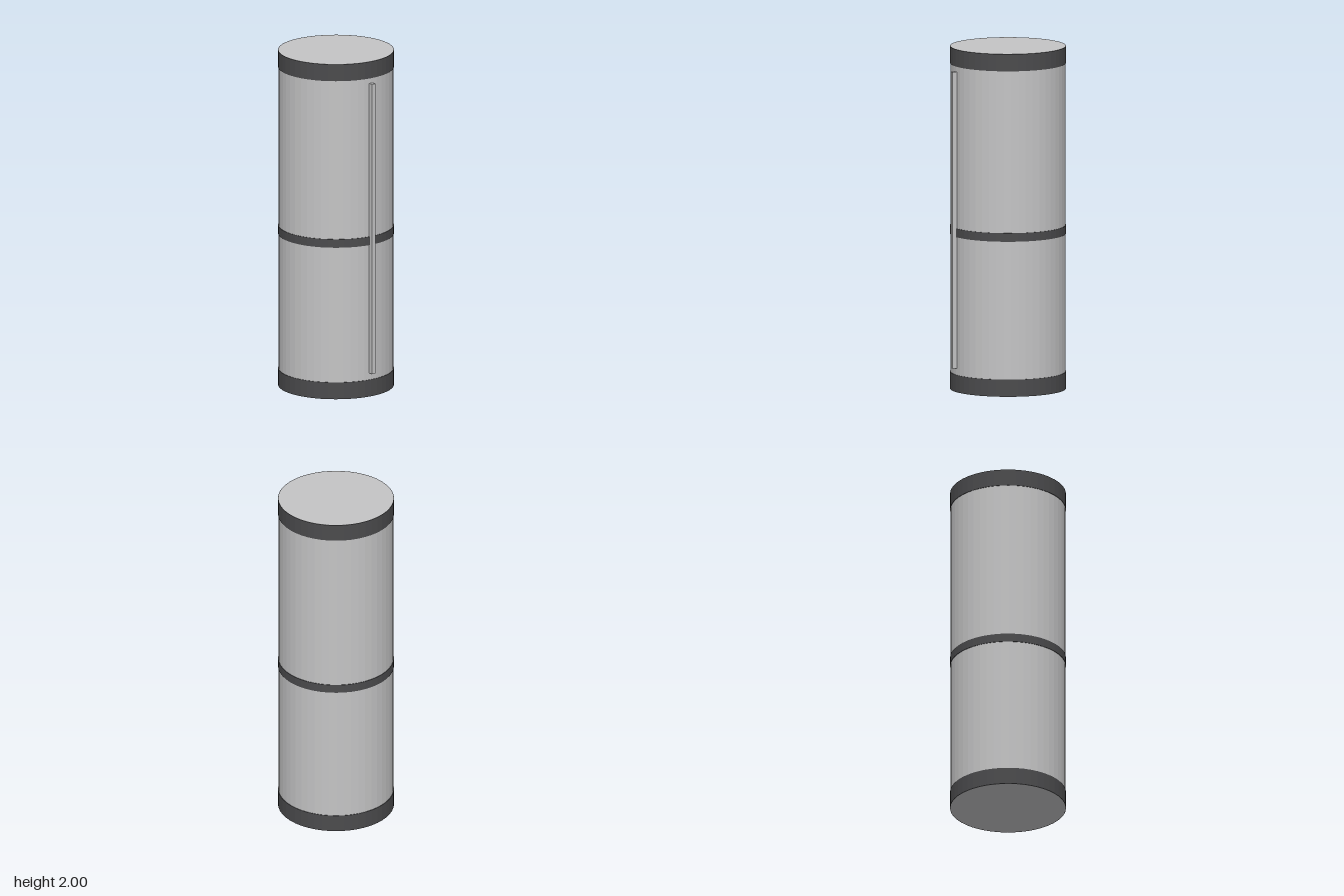
import * as THREE from 'three';

export function createModel() {
  const group = new THREE.Group();
  const lightGrey = new THREE.MeshStandardMaterial({ color: 0xc4c4c5, flatShading: true });
  lightGrey.name = 'light grey';
  const darkGrey = new THREE.MeshStandardMaterial({ color: 0x4b4b4d, flatShading: true });
  darkGrey.name = 'dark grey';

  const SIDES = 48, BODY_R = 0.332, BAND_R = 0.335, AXIS_Z = -0.013;

  const add = (name, geometry, material, y, z = AXIS_Z) => {
    const mesh = new THREE.Mesh(geometry, material);
    mesh.name = name;
    mesh.position.set(0, y, z);
    group.add(mesh);
  };

  // Main cylinder, whose end discs show inside the end bands
  add('body', new THREE.CylinderGeometry(BODY_R, BODY_R, 2, SIDES), lightGrey, 1);

  // Thin rings wrapped round the body
  const bands = [['bottomBand', 0, 0.1], ['middleBand', 0.905, 0.955], ['topBand', 1.9, 2]];
  for (const [name, low, high] of bands) {
    const profile = [
      new THREE.Vector2(BODY_R, 0),
      new THREE.Vector2(BAND_R, 0),
      new THREE.Vector2(BAND_R, high - low),
      new THREE.Vector2(BODY_R, high - low),
    ];
    add(name, new THREE.LatheGeometry(profile, SIDES), darkGrey, low);
  }

  // Upright strip along the front
  add('frontStrip', new THREE.BoxGeometry(0.025, 1.73, 0.03), lightGrey, 1.005, 0.332);

  return group;
}
